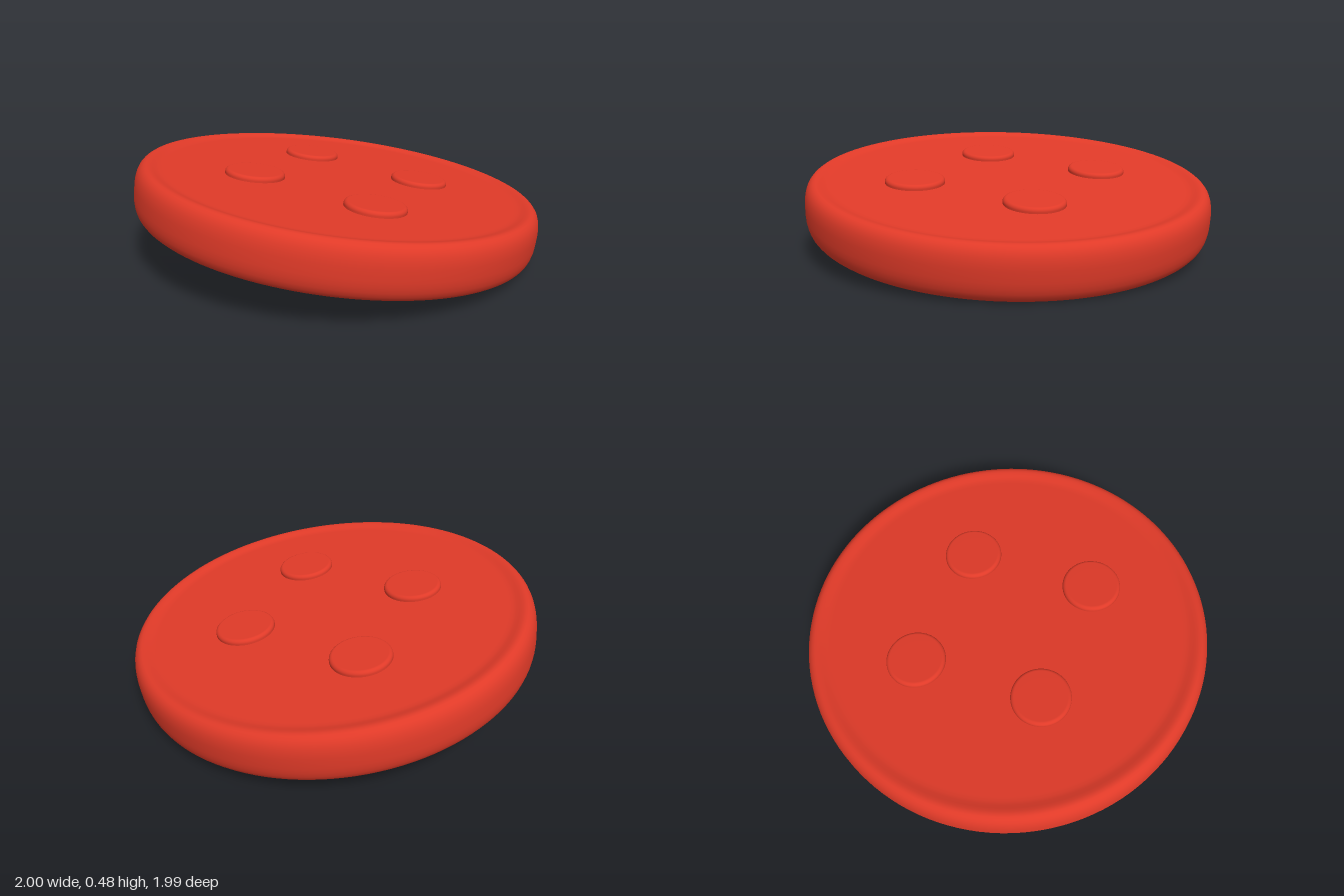
import * as THREE from 'three';

export function createModel() {
  const model = new THREE.Group();
  const material = new THREE.MeshStandardMaterial({ color: 0xe03a28 });

  const lathe = (name, points, segments) => {
    const geometry = new THREE.LatheGeometry(points, segments);
    const mesh = new THREE.Mesh(geometry, material);
    mesh.name = name;
    return mesh;
  };

  // Whole disc leans: higher towards the front and the right-hand side
  const disc = new THREE.Group();
  disc.name = 'tiltedDisc';
  disc.quaternion.setFromUnitVectors(
    new THREE.Vector3(0, 1, 0),
    new THREE.Vector3(0.047, 1, -0.122).normalize()
  );
  disc.position.y = 0.24;
  model.add(disc);

  // Half section of the body: shallow recess, soft raised rim, rounded side
  const upper = [
    [0, 0.106], [0.45, 0.106], [0.87, 0.106], [0.89, 0.107], [0.905, 0.11],
    [0.92, 0.115], [0.935, 0.119], [0.948, 0.12], [0.96, 0.117], [0.972, 0.108],
    [0.983, 0.094], [0.991, 0.074], [0.996, 0.05], [0.998, 0.025],
  ];
  const lower = upper.map(([r, y]) => [r, -y]);
  const section = [...lower, [0.998, 0], ...upper.slice().reverse()];
  disc.add(lathe('body', section.map(([r, y]) => new THREE.Vector2(r, y)), 128));

  // Four low round studs with rounded upper edges
  const radius = 0.145, height = 0.03, round = 0.018;
  const studProfile = [new THREE.Vector2(radius, -0.01)];
  for (let i = 0; i <= 6; i++) {
    const a = (i / 6) * Math.PI / 2;
    studProfile.push(new THREE.Vector2(
      radius - round + round * Math.cos(a),
      height - round + round * Math.sin(a)
    ));
  }
  studProfile.push(new THREE.Vector2(0.06, height), new THREE.Vector2(0, height));

  for (const [x, z] of [[0.135, -0.415], [0.458, 0.133]]) {
    for (const side of [1, -1]) {
      const stud = lathe('stud', studProfile, 48);
      stud.position.set(side * x, 0.102, side * z);
      disc.add(stud);
    }
  }
  return model;
}
